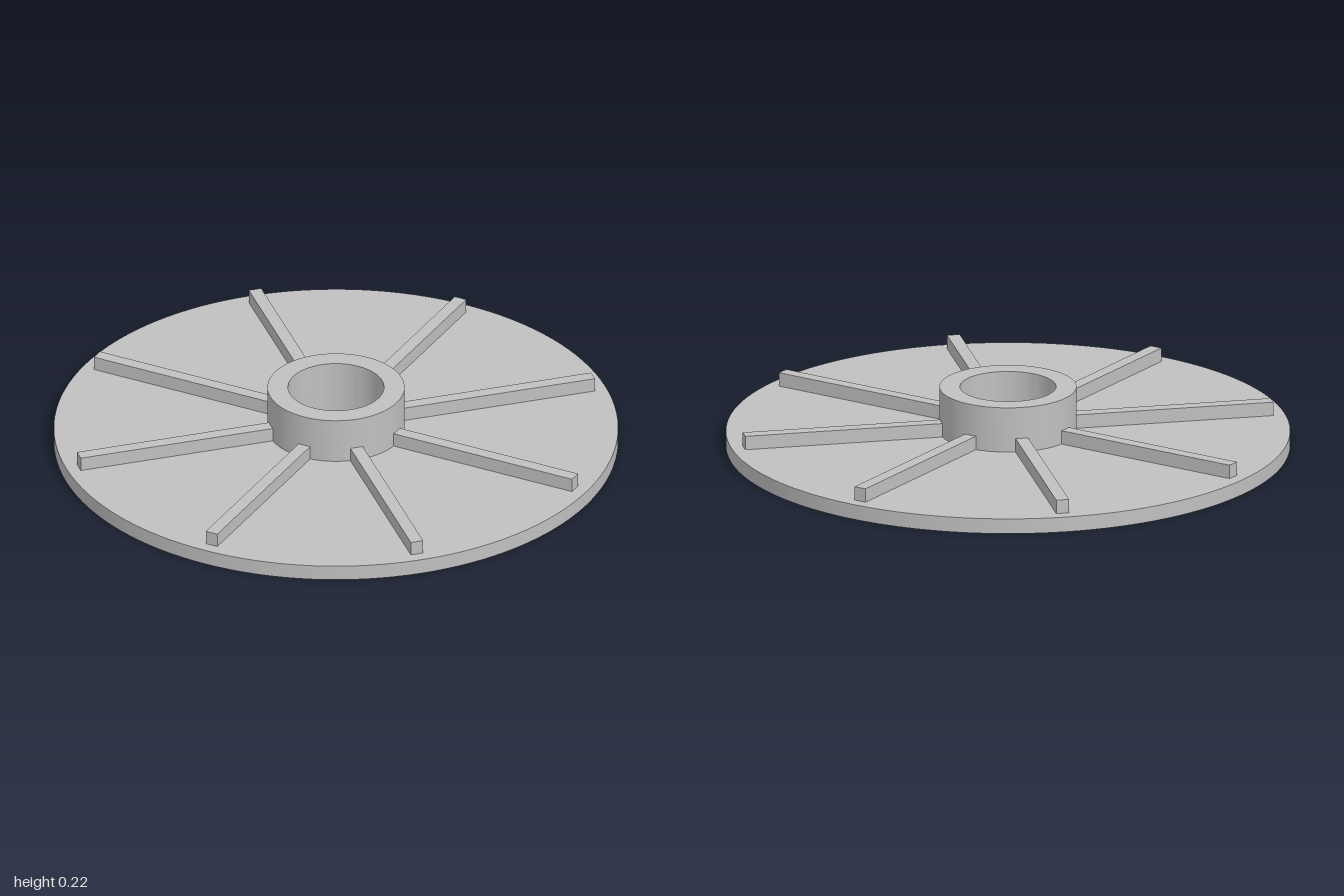
import * as THREE from 'three';
import { toCreasedNormals } from 'three/addons/utils/BufferGeometryUtils.js';

const BORE = 0.17, HUB = 0.243, RIM = 1;
const DISC_TOP = 0.055, RIB_TOP = 0.105, HUB_TOP = 0.22;
const RIB_WIDTH = 0.046, RIB_START = 0.21, RIB_END = 0.955, RIB_COUNT = 8;

// Turned part with smooth walls and sharp edges
function turned(name, profile, material) {
  const points = profile.map(([r, y]) => new THREE.Vector2(r, y));
  const geometry = toCreasedNormals(new THREE.LatheGeometry(points, 128), 0.6);
  const mesh = new THREE.Mesh(geometry, material);
  mesh.name = name;
  return mesh;
}

export function createModel() {
  const model = new THREE.Group();
  model.name = 'ribbedFlange';
  const grey = new THREE.MeshStandardMaterial({ color: 0xc0c0c0 });
  grey.name = 'grey';

  // Flat disc with a central bore
  model.add(turned('disc', [
    [BORE, DISC_TOP], [BORE, 0], [RIM, 0], [RIM, DISC_TOP], [HUB, DISC_TOP],
  ], grey));

  // Raised hollow hub
  model.add(turned('hub', [
    [HUB, DISC_TOP], [HUB, HUB_TOP], [BORE, HUB_TOP], [BORE, DISC_TOP],
  ], grey));

  // Radial ribs, rooted in the hub wall
  const height = RIB_TOP - DISC_TOP;
  const ribGeometry = new THREE.BoxGeometry(RIB_END - RIB_START, height, RIB_WIDTH);
  ribGeometry.translate((RIB_START + RIB_END) / 2, DISC_TOP + height / 2, 0);
  const ribs = new THREE.Group();
  ribs.name = 'ribs';
  for (let i = 0; i < RIB_COUNT; i++) {
    const rib = new THREE.Mesh(ribGeometry, grey);
    rib.name = `rib${i + 1}`;
    rib.rotation.y = (i / RIB_COUNT) * Math.PI * 2;
    ribs.add(rib);
  }
  model.add(ribs);
  return model;
}
